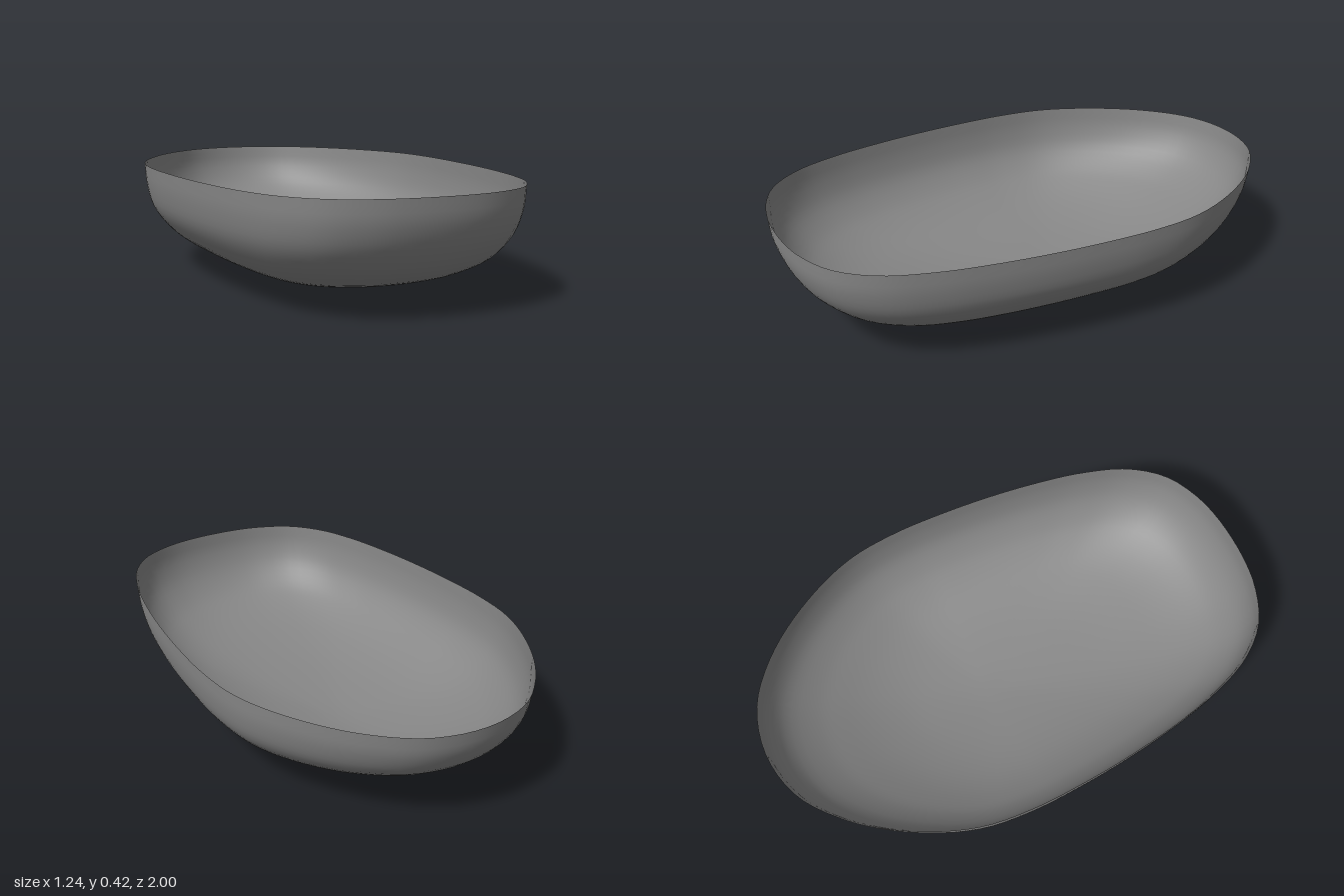
import * as THREE from 'three';
import { mergeVertices } from 'three/addons/utils/BufferGeometryUtils.js';

const MID_Z = -0.1, AROUND = 112, DOWN = 36;

// Rim outline, front tip to back tip on the +x side: [x, z]
const RIM = [[0, 1], [0.11, 0.994], [0.22, 0.972], [0.36, 0.905], [0.465, 0.78], [0.533, 0.6],
  [0.575, 0.4], [0.602, 0.2], [0.617, 0], [0.62, -0.2], [0.596, -0.4], [0.517, -0.6],
  [0.385, -0.8], [0.235, -0.935], [0.12, -0.984], [0, -1]];

// Bowl profile: [height, reach to the front, side and back as a share of the rim]
const PROFILE = [[0.425, 1, 1, 1], [0.34, 0.992, 0.99, 0.98], [0.25, 0.96, 0.953, 0.917],
  [0.17, 0.9, 0.86, 0.795], [0.12, 0.825, 0.757, 0.68], [0.08, 0.72, 0.64, 0.57],
  [0.05, 0.585, 0.51, 0.465], [0.028, 0.44, 0.37, 0.36], [0.012, 0.26, 0.22, 0.23],
  [0.003, 0.1, 0.09, 0.1], [0.001, 0, 0, 0]];

function shellGeometry() {
  // Mirror the outline to close the rim
  const mirrored = RIM.slice(1, -1).reverse().map(([x, z]) => [-x, z]);
  const rim = new THREE.CatmullRomCurve3(
    [...RIM, ...mirrored].map(([x, z]) => new THREE.Vector3(x, 0, z)), true, 'centripetal');

  const positions = [], index = [];
  for (let j = 0; j < AROUND; j++) {
    const r = rim.getPointAt(j / AROUND);
    const dz = r.z - MID_Z;
    // Blend the side profile with the front or back one by direction
    const ez = (dz / (dz > 0 ? 1.1 : 0.9)) ** 2, ex = (r.x / 0.62) ** 2;
    const w = ez / (ex + ez), end = dz > 0 ? 1 : 3;
    const rib = new THREE.CatmullRomCurve3(PROFILE.map((p) => {
      const s = p[2] * (1 - w) + p[end] * w;
      return new THREE.Vector3(r.x * s, p[0], MID_Z + dz * s);
    }), false, 'centripetal');
    for (let i = 0; i <= DOWN; i++) positions.push(...rib.getPoint(i / DOWN).toArray());
  }
  const at = (i, j) => (j % AROUND) * (DOWN + 1) + i;
  for (let j = 0; j < AROUND; j++) {
    for (let i = 0; i < DOWN; i++) {
      const a = at(i, j), b = at(i, j + 1), c = at(i + 1, j), d = at(i + 1, j + 1);
      index.push(a, c, b);
      if (i < DOWN - 1) index.push(b, c, d);
    }
  }
  let geometry = new THREE.BufferGeometry();
  geometry.setAttribute('position', new THREE.Float32BufferAttribute(positions, 3));
  geometry.setIndex(index);
  geometry = mergeVertices(geometry, 1e-5); // one shared vertex at the lowest point
  geometry.computeVertexNormals();
  return geometry;
}

export function createModel() {
  const group = new THREE.Group();
  group.name = 'openBowl';
  // Thin open shell with a rounded bottom, in dark grey
  const shell = new THREE.Mesh(shellGeometry(),
    new THREE.MeshStandardMaterial({ color: 0x878787, side: THREE.DoubleSide }));
  shell.name = 'bowlShell';
  group.add(shell);
  return group;
}
